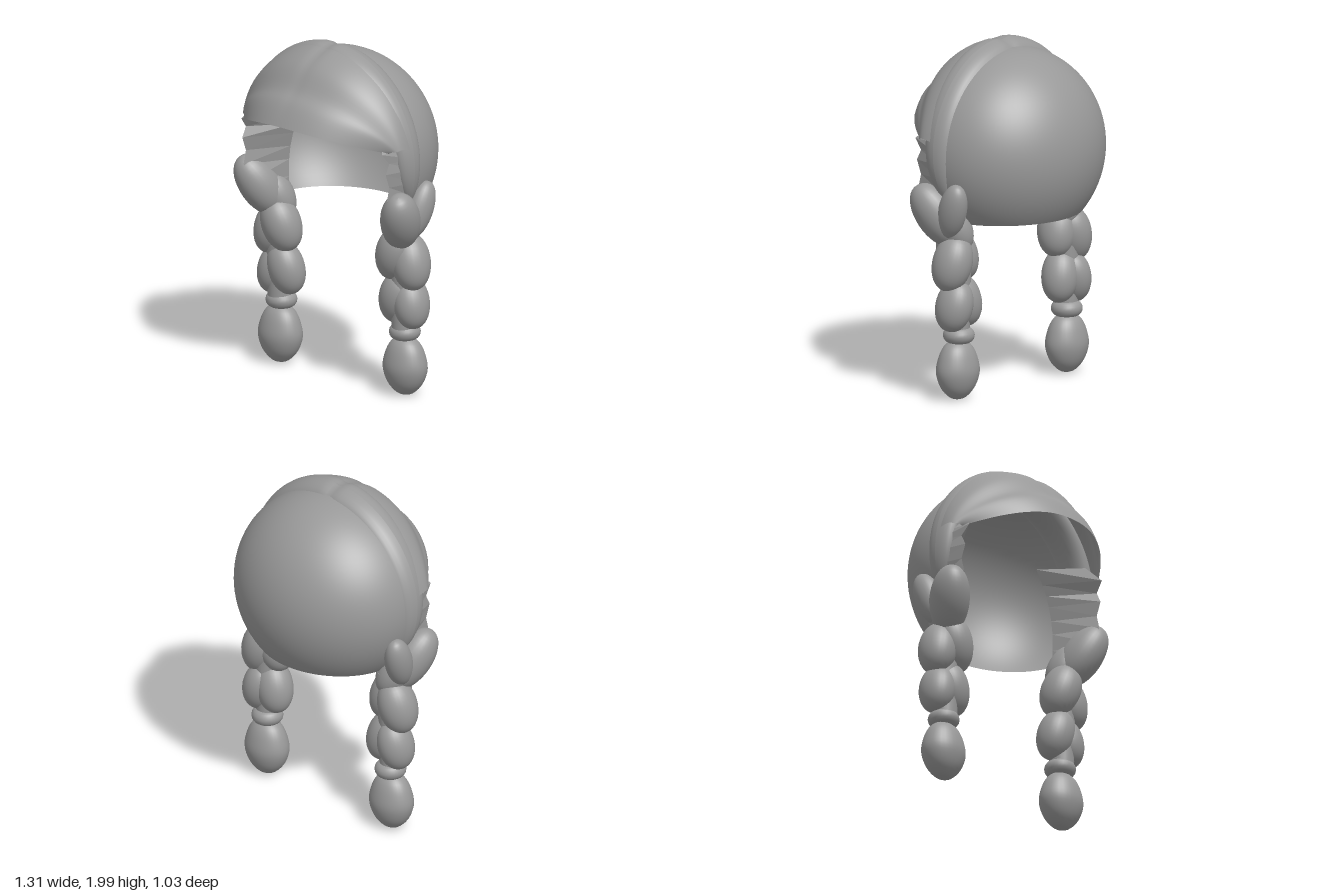
import * as THREE from 'three';

const hair = new THREE.MeshStandardMaterial({ color: 0x999999, side: THREE.DoubleSide });
hair.name = 'grey hair';

// Smooth surface from a rule: point(u, v) returns [x, y, z] for u, v in 0..1
function surface(point, nu, nv) {
  const pos = [], idx = [];
  for (let i = 0; i <= nu; i++)
    for (let j = 0; j <= nv; j++) pos.push(...point(i / nu, j / nv));
  for (let i = 0; i < nu; i++)
    for (let j = 0; j < nv; j++) {
      const a = i * (nv + 1) + j, b = a + nv + 1;
      idx.push(a, b, a + 1, b, b + 1, a + 1);
    }
  const g = new THREE.BufferGeometry();
  g.setAttribute('position', new THREE.Float32BufferAttribute(pos, 3));
  g.setIndex(idx);
  g.computeVertexNormals();
  return g;
}

function add(parent, name, geometry) {
  const m = new THREE.Mesh(geometry, hair);
  m.name = name;
  parent.add(m);
  return m;
}

// Raised roll of hair running over the head from ear to ear
function bandPoint(u, v) {
  const t = u * 2 - 1, th = t * 1.9, a = v * Math.PI * 2;
  const taper = 1 - Math.abs(t) ** 7;
  const notch = 0.014 * Math.exp(-((th / 0.06) ** 2));
  const lean = 0.012 * Math.sin(a) * Math.cos(th) ** 2;
  const r = Math.cos(a) * (0.02 + 0.045 * taper) + lean - notch;
  const z = 0.01 + 0.045 * taper + Math.sin(a) * (0.03 + 0.07 * taper);
  return [Math.sin(th) * (0.55 + r), 1.35 + Math.cos(th) * (0.582 + r), z];
}

// Fringe swelling over the front of the roll, then dipping to a pointed brim
function fringePoint(u, v) {
  const th = (u * 2 - 1) * 1.36, s = Math.sin(th) / Math.sin(1.36), c = Math.cos(th);
  const top = [0.605 * Math.sin(th), 1.35 + 0.648 * c, 0.06];
  const rim = [0.54 * s, 1.6 - 0.12 * s * s, 0.515 - 0.32 * Math.abs(s) ** 2.4];
  const bulge = [0.045 * Math.sin(th), 0.16 * c, 0.05];
  const dip = 0.035 * c * Math.exp(-(((v - 0.64) / 0.13) ** 2));
  const crease = 0.014 * Math.exp(-((th / 0.06) ** 2)) * (1 - v) + dip;
  return top.map((p, k) => {
    const mid = (p + rim[k]) / 2 + bulge[k];
    return (1 - v) ** 2 * p + 2 * v * (1 - v) * mid + v * v * rim[k] - (k === 1 ? crease : 0);
  });
}

// Ragged lining in front of each ear: [y, outer x, front x, front z, inner x]
const flapRows = [
  [1.56, 0.52, 0.47, 0.17, 0.29], [1.48, 0.57, 0.53, 0.24, 0.34], [1.42, 0.59, 0.54, 0.19, 0.37],
  [1.36, 0.59, 0.54, 0.22, 0.39], [1.28, 0.58, 0.54, 0.19, 0.41], [1.20, 0.56, 0.54, 0.21, 0.42],
  [1.10, 0.53, 0.51, 0.20, 0.42], [1.01, 0.48, 0.47, 0.14, 0.42],
];
function flap(s) {
  return surface((u, v) => {
    const [y, outer, front, z, inner] = flapRows[Math.round(u * 7)];
    return [[s * outer, y, 0.02], [s * front, y, z], [s * inner, y, -0.04]][Math.round(v * 2)];
  }, 7, 2);
}

// Braid strands: position, radii, tilt about x, tilt about z
const strands = [
  [[0.53, 1.06, 0.085], [0.11, 0.2, 0.12], 0.5, -0.32],
  [[0.55, 1.10, -0.05], [0.075, 0.17, 0.085], -0.35, -0.12],
  [[0.475, 0.99, 0.0], [0.095, 0.15, 0.10], 0.3, -0.3],
  [[0.515, 0.795, -0.02], [0.11, 0.165, 0.115], -0.1, 0.25],
  [[0.43, 0.835, 0.015], [0.112, 0.165, 0.115], 0.15, -0.3],
  [[0.51, 0.55, -0.03], [0.10, 0.15, 0.11], -0.1, 0.22],
  [[0.42, 0.57, -0.015], [0.108, 0.155, 0.105], 0.1, -0.25],
];

// Plump strand with slightly squared shoulders
function strandGeometry() {
  const pts = [];
  for (let i = 0; i <= 20; i++) {
    const a = (i / 20) * Math.PI;
    pts.push(new THREE.Vector2(Math.max(0, Math.sin(a)) ** 0.92, -Math.cos(a)));
  }
  return new THREE.LatheGeometry(pts, 28);
}

function braid(s) {
  const g = new THREE.Group();
  g.name = s > 0 ? 'leftBraid' : 'rightBraid';
  const strand = strandGeometry();
  strands.forEach(([p, r, rx, rz], i) => {
    const m = add(g, 'strand' + (i + 1), strand);
    m.position.set(s * p[0], p[1], p[2]);
    m.scale.set(...r);
    m.rotation.set(rx, 0, s * rz);
  });
  const core = add(g, 'braidCore', new THREE.CylinderGeometry(0.085, 0.07, 0.62, 24));
  core.position.set(s * 0.467, 0.69, -0.015);

  // Hair tie
  const tie = add(g, 'hairTie', new THREE.TorusGeometry(0.045, 0.045, 16, 32));
  tie.rotation.x = Math.PI / 2;
  tie.position.set(s * 0.465, 0.375, -0.025);

  // Loose tuft at the end
  const profile = new THREE.SplineCurve([
    [0, 0.005], [0.055, 0.022], [0.11, 0.08], [0.138, 0.165], [0.122, 0.25], [0.09, 0.31], [0.045, 0.345],
  ].map(([x, y]) => new THREE.Vector2(x, y))).getPoints(24);
  const tuft = add(g, 'braidEnd', new THREE.LatheGeometry(profile, 32));
  tuft.scale.z = 0.81;
  tuft.position.set(s * 0.47, 0, -0.022);
  return g;
}

export function createModel() {
  const model = new THREE.Group();
  model.name = 'braidedHair';

  // Hollow cap over the back of the head, cut flat at the nape
  const cap = add(model, 'backCap',
    new THREE.SphereGeometry(1, 56, 36, Math.PI - 0.1, Math.PI + 0.2, 0, Math.acos(-0.37 / 0.57)));
  cap.scale.set(0.58, 0.57, 0.513);
  cap.position.y = 1.38;

  add(model, 'crownRoll', surface(bandPoint, 96, 24));
  add(model, 'fringe', surface(fringePoint, 64, 24));
  for (const s of [1, -1]) {
    const lining = flap(s).toNonIndexed();
    lining.computeVertexNormals();
    add(model, s > 0 ? 'leftSideLining' : 'rightSideLining', lining);
    model.add(braid(s));
  }
  return model;
}
